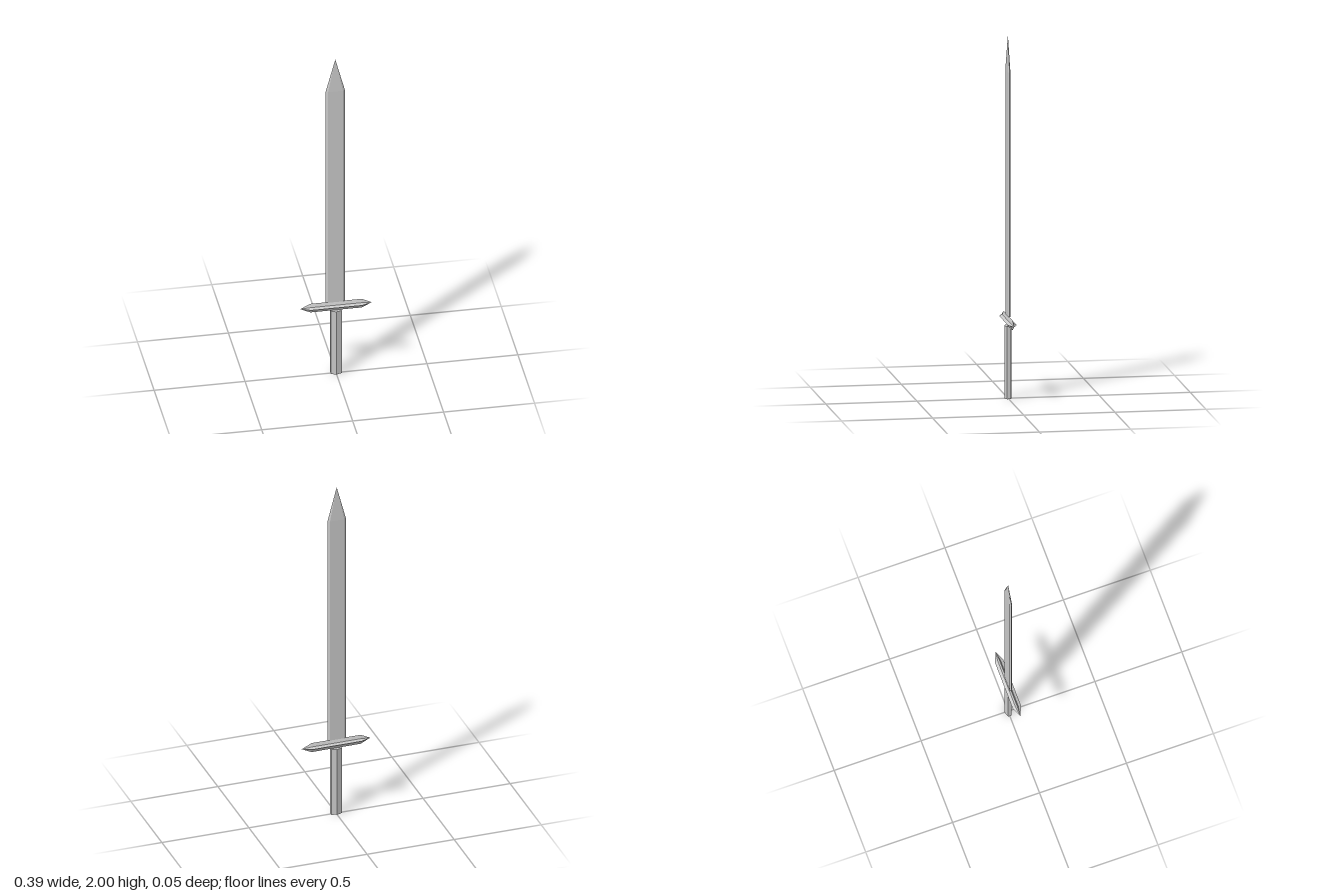
import * as THREE from 'three';

const material = new THREE.MeshStandardMaterial({ color: 0xcccccc, flatShading: true });

// Lofts one [x, z] section up y through levels { y, s: section scale, x: centre offset }; s = 0 is a point.
function loft(name, section, levels) {
  const pos = [];
  const at = ([x, z], { y, s, x: cx = 0 }) => [cx + x * s, y, z * s];
  const tri = (...corners) => corners.forEach((c) => pos.push(...c));
  const first = levels[0], last = levels[levels.length - 1];
  section.forEach((p, i) => {
    const q = section[(i + 1) % section.length];
    for (let k = 0; k + 1 < levels.length; k++) {
      const lo = levels[k], hi = levels[k + 1];
      if (lo.s > 0) tri(at(p, lo), at(q, hi), at(q, lo));
      if (hi.s > 0) tri(at(p, lo), at(p, hi), at(q, hi));
    }
    // flat end caps
    if (first.s > 0) tri(at([0, 0], first), at(p, first), at(q, first));
    if (last.s > 0) tri(at([0, 0], last), at(q, last), at(p, last));
  });
  const geometry = new THREE.BufferGeometry();
  geometry.setAttribute('position', new THREE.Float32BufferAttribute(pos, 3));
  geometry.computeVertexNormals();
  const mesh = new THREE.Mesh(geometry, material);
  mesh.name = name;
  return mesh;
}

export function createModel() {
  const sword = new THREE.Group();
  sword.name = 'sword';

  // Six-sided grip with a ridge along front and back
  const gripSection = [[0.03, -0.01], [0.03, 0.01], [0, 0.02], [-0.03, 0.01], [-0.03, -0.01], [0, -0.02]];
  sword.add(loft('grip', gripSection, [{ y: 0, s: 1 }, { y: 0.4, s: 1 }]));

  // Crossguard: four-pointed star section drawn to a point at both ends, laid along x
  const starSection = [];
  for (let i = 0; i < 8; i++) {
    const a = (i * Math.PI) / 4;
    const [rx, rz] = i % 2 ? [0.011, 0.011] : [0.0275, 0.024];
    starSection.push([Math.cos(a) * rx, Math.sin(a) * rz]);
  }
  const guard = loft('crossguard', starSection, [
    { y: -0.197, s: 0 }, { y: -0.141, s: 1 }, { y: 0.141, s: 1 }, { y: 0.197, s: 0 },
  ]);
  guard.rotation.z = Math.PI / 2;
  guard.position.y = 0.4275;
  sword.add(guard);

  // Flat blade with bevelled edges, slightly off centre, ending in a point
  const bladeSection = [[0.053, 0], [0.041, 0.007], [-0.041, 0.007], [-0.053, 0], [-0.041, -0.007], [0.041, -0.007]];
  sword.add(loft('blade', bladeSection, [
    { y: 0.455, s: 1, x: -0.004 }, { y: 1.8, s: 1, x: -0.004 }, { y: 2, s: 0, x: -0.004 },
  ]));

  return sword;
}
